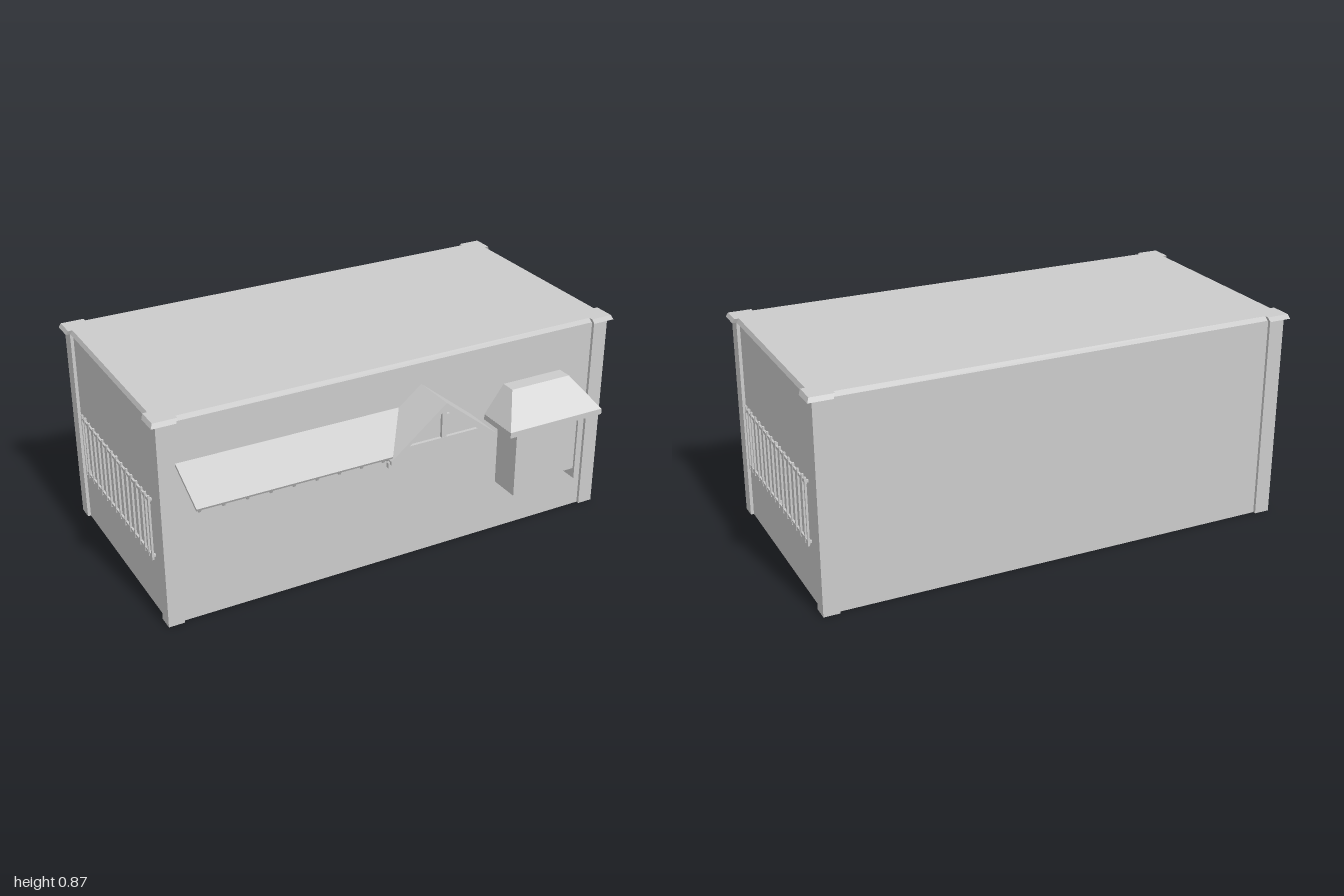
import * as THREE from 'three';

const mat = new THREE.MeshStandardMaterial({ color: 0xcccccc, flatShading: true, side: THREE.DoubleSide });

export function createModel() {
  const root = new THREE.Group();

  function add(name, geometry, x = 0, y = 0, z = 0, parent = root) {
    const m = new THREE.Mesh(geometry, mat);
    m.name = name;
    m.position.set(x, y, z);
    parent.add(m);
    return m;
  }

  // box given by its limits on each axis
  function box(name, x0, x1, y0, y1, z0, z1, parent) {
    return add(name, new THREE.BoxGeometry(x1 - x0, y1 - y0, z1 - z0),
      (x0 + x1) / 2, (y0 + y1) / 2, (z0 + z1) / 2, parent);
  }

  // solid between two outlines of equal point count (counter-clockwise from above, v = -z)
  function loft(low, high, y0, y1) {
    const pos = [];
    const put = (p, y) => pos.push(p[0], y, -p[1]);
    low.forEach((a, i) => {
      const j = (i + 1) % low.length;
      put(a, y0); put(low[j], y0); put(high[j], y1);
      put(a, y0); put(high[j], y1); put(high[i], y1);
    });
    const tris = THREE.ShapeUtils.triangulateShape(low.map(p => new THREE.Vector2(...p)), []);
    for (const [a, b, c] of tris) {
      put(high[a], y1); put(high[b], y1); put(high[c], y1);
      put(low[c], y0); put(low[b], y0); put(low[a], y0);
    }
    const g = new THREE.BufferGeometry();
    g.setAttribute('position', new THREE.Float32BufferAttribute(pos, 3));
    g.computeVertexNormals();
    return g;
  }

  // rectangle whose four corners project by r
  const notched = (X, Z, px, pz, r) => [
    [X - r, -pz], [X - r, pz], [X, pz], [X, Z], [px, Z], [px, Z - r],
    [-px, Z - r], [-px, Z], [-X, Z], [-X, pz], [-X + r, pz], [-X + r, -pz],
    [-X, -pz], [-X, -Z], [-px, -Z], [-px, -Z + r], [px, -Z + r], [px, -Z], [X, -Z], [X, -pz]];
  const rect = (x0, x1, z0, z1) => [[x0, -z1], [x1, -z1], [x1, -z0], [x0, -z0]];

  function extrude(points, depth) {
    const shape = new THREE.Shape(points.map(p => new THREE.Vector2(...p)));
    return new THREE.ExtrudeGeometry(shape, { depth, bevelEnabled: false });
  }

  // walls with corner pilasters, and the sloped cornice around the flat roof
  const wall = notched(0.98, 0.485, 0.915, 0.422, 0.013);
  add('walls', loft(wall, wall, 0, 0.852), 0, 0, -0.08);
  add('corniceRoof', loft(notched(1, 0.5, 0.905, 0.41, 0.018),
    notched(0.992, 0.492, 0.897, 0.402, 0.018), 0.85, 0.868), 0, 0, -0.08);

  // barred railings on both side walls
  const bars = [0.287, 0.252, -0.442];
  for (let i = 0; i < 13; i++) bars.push(0.215 - i * 0.0522);
  for (const s of [-1, 1]) {
    const g = new THREE.Group();
    g.name = s > 0 ? 'leftRailing' : 'rightRailing';
    root.add(g);
    for (const z of bars) add('bar', new THREE.BoxGeometry(0.008, 0.277, 0.008), s * 0.981, 0.3735, z, g);
    for (const y of [0.248, 0.492]) {
      add('rail', new THREE.BoxGeometry(0.008, 0.013, 0.735), s * 0.979, y, -0.078, g);
      for (const z of [0.28, -0.078, -0.435]) add('bracket', new THREE.BoxGeometry(0.02, 0.01, 0.01), s * 0.972, y, z, g);
    }
  }

  // sloping awning, cut along the valley where it meets the gable
  const awning = new THREE.Group();
  awning.name = 'awning';
  awning.position.set(0, 0.576, 0.572);
  awning.rotation.x = -Math.atan2(0.182, 0.093);
  root.add(awning);
  add('awningRoof', extrude([[-0.91, 0], [-0.12, 0], [0.01, 0.205], [-0.91, 0.205]], 0.011), 0, 0, 0, awning);
  for (let i = 0; i < 9; i++) {
    add('awningRafter', new THREE.BoxGeometry(0.01, 0.2, 0.012), -0.895 + i * 0.0925, 0.1, -0.006, awning);
  }

  // gable roof with an open truss in front
  const chevron = (top, half, slope, t) => [
    [-half, top - half * slope], [-half, top - half * slope - t], [0, top - t],
    [half, top - half * slope - t], [half, top - half * slope], [0, top]];
  const cx = 0.11;
  add('gableRoof', extrude(chevron(0.755, 0.236, 0.8, 0.016), 0.188), cx, 0, 0.389);
  for (const z of [0.395, 0.553]) {
    add('gableRafters', extrude(chevron(0.74, 0.243, 0.76, 0.02), 0.014), cx, 0, z);
    box('tieBeam', cx - 0.18, cx + 0.18, 0.589, 0.605, z, z + 0.013);
    box('kingPost', cx - 0.01, cx + 0.01, 0.6, 0.73, z, z + 0.012);
  }

  // hipped hood over the service window
  add('hoodRoof', loft(rect(0.41, 0.85, 0.39, 0.578), rect(0.495, 0.77, 0.39, 0.453), 0.55, 0.665));
  box('hoodEave', 0.41, 0.85, 0.527, 0.551, 0.39, 0.578);
  box('hoodMoulding', 0.455, 0.805, 0.519, 0.528, 0.39, 0.547);
  box('lowerMoulding', 0.467, 0.797, 0.511, 0.52, 0.39, 0.535);

  // projecting window with side panels reaching below it
  box('windowPanel', 0.485, 0.78, 0.265, 0.512, 0.39, 0.515);
  for (const x of [0.479, 0.779]) box('sidePanel', x, x + 0.008, 0.222, 0.512, 0.39, 0.525);

  return root;
}
